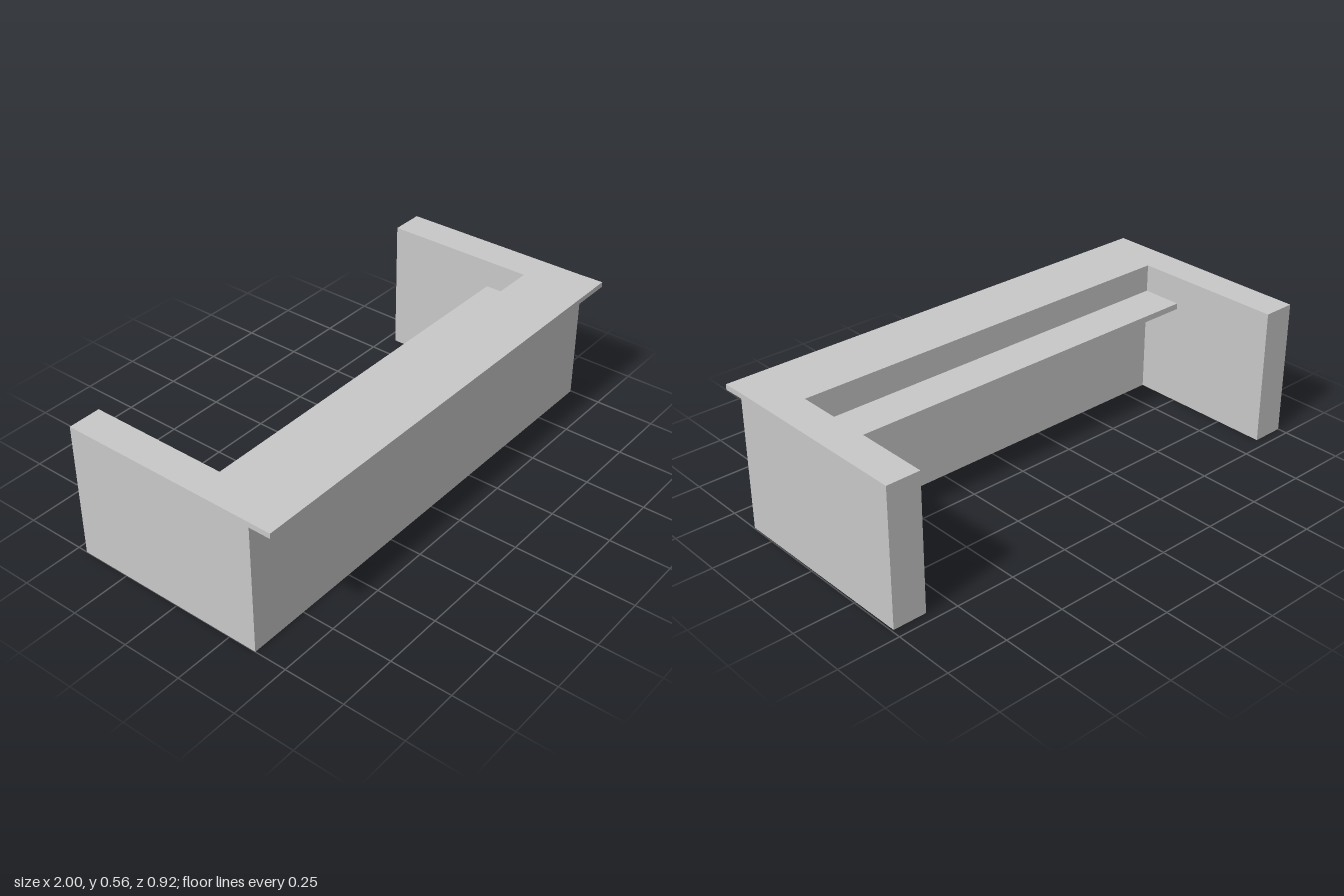
import * as THREE from 'three';

const HEIGHT = 0.563;
const LEDGE_BOTTOM = 0.541;

export function createModel() {
  const counter = new THREE.Group();
  counter.name = 'receptionCounter';

  const grey = new THREE.MeshStandardMaterial({ color: 0xc8c8c8 });
  grey.name = 'lightGrey';

  // Extrudes a plan outline of [x, z] points from y0 up to y1
  function plate(name, points, y0, y1) {
    const shape = new THREE.Shape(points.map(([x, z]) => new THREE.Vector2(x, -z)));
    const geometry = new THREE.ExtrudeGeometry(shape, { depth: y1 - y0, bevelEnabled: false });
    geometry.rotateX(-Math.PI / 2);
    geometry.translate(0, y0, 0);
    const mesh = new THREE.Mesh(geometry, grey);
    mesh.name = name;
    counter.add(mesh);
  }

  // U-shaped body: front panel with a return wall on each side
  const outline = [
    [-1, -0.458], [-0.865, -0.458], [-0.865, 0.182], [0.854, 0.182],
    [0.854, -0.458], [0.992, -0.458], [0.997, 0.367], [-1, 0.367],
  ];
  plate('counterBody', outline, 0, HEIGHT);

  // Thin countertop ledge overhanging the front
  plate('frontLedge', [[-1, 0.367], [-1, 0.458], [1, 0.458], [0.997, 0.367]], LEDGE_BOTTOM, HEIGHT);

  // Work shelf along the inside of the front panel
  plate('innerShelf', [[-0.865, 0.01], [-0.865, 0.182], [0.854, 0.182], [0.854, 0.01]], 0.423, 0.448);

  return counter;
}
